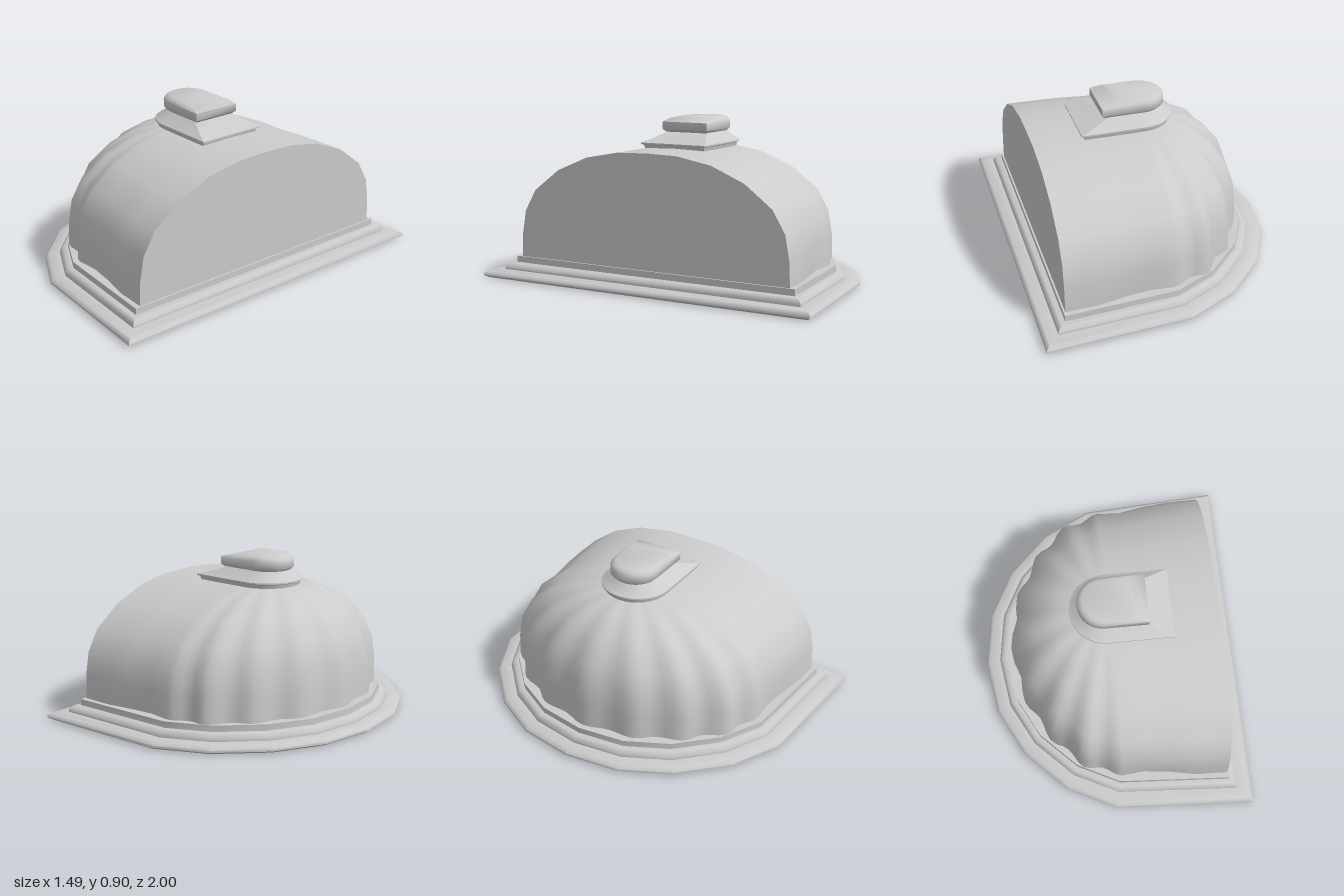
import * as THREE from 'three';
import { toCreasedNormals } from 'three/addons/utils/BufferGeometryUtils.js';

const material = new THREE.MeshStandardMaterial({ color: 0xcccccc, side: THREE.DoubleSide });

// Skin a stack of rings (each counter-clockwise seen from above, stacked upward)
function loft(name, rings, { closed = true, capEnds = false, crease = 0.6 } = {}) {
  const n = rings[0].length, top = (rings.length - 1) * n, index = [];
  for (let i = 0; i < rings.length - 1; i++) {
    for (let j = 0; j < (closed ? n : n - 1); j++) {
      const a = i * n + j, b = i * n + (j + 1) % n;
      index.push(a, b, b + n, a, b + n, a + n);
    }
  }
  if (capEnds) {
    for (let j = 1; j < n - 1; j++) index.push(0, j + 1, j, top, top + j, top + j + 1);
  }
  const geometry = new THREE.BufferGeometry();
  geometry.setAttribute('position', new THREE.Float32BufferAttribute(rings.flat(2), 3));
  geometry.setIndex(index);
  const mesh = new THREE.Mesh(toCreasedNormals(geometry, crease), material);
  mesh.name = name;
  return mesh;
}

// Mitred inset of a counter-clockwise plan [x, z]
function inset(plan, d, y) {
  const n = plan.length;
  const normal = (a, b) => {
    const dx = b[0] - a[0], dz = b[1] - a[1], l = Math.hypot(dx, dz);
    return [dz / l, -dx / l];
  };
  return plan.map((p, i) => {
    const m = normal(plan[(i + n - 1) % n], p), k = normal(p, plan[(i + 1) % n]);
    const f = d / (1 + m[0] * k[0] + m[1] * k[1]);
    return [p[0] + (m[0] + k[0]) * f, y, p[1] + (m[1] + k[1]) * f];
  });
}

// Plan with a round end at -x and a square end at x1
function roundEnded(y, cx, r, x1) {
  const ring = [[x1, y, r], [x1, y, -r]];
  for (let i = 0; i <= 16; i++) {
    const a = Math.PI / 2 + Math.PI * i / 16;
    ring.push([cx + r * Math.cos(a), y, -r * Math.sin(a)]);
  }
  return ring;
}

export function createModel() {
  const group = new THREE.Group();

  // Stepped base ring, open through the middle
  const half = [[0.745, -1], [-0.05, -0.95], [-0.33, -0.81], [-0.56, -0.58], [-0.70, -0.31]];
  const plan = [...half, [-0.745, 0], ...half.map(([x, z]) => [x, -z]).reverse()];
  const steps = [
    [0.21, 0.115], [0.13, 0.07], [0.07, 0], [0.02, 0], [0, 0.013], [0, 0.025], [0.02, 0.042],
    [0.083, 0.042], [0.083, 0.06], [0.103, 0.08], [0.13, 0.08], [0.13, 0.115], [0.21, 0.115],
  ];
  group.add(loft('steppedBase', steps.map(([d, y]) => inset(plan, d, y)), { crease: 0.9 }));

  // Dome profile: scale of the plan and height
  const profile = [
    [1, 0.11], [0.993, 0.25], [0.965, 0.38], [0.88, 0.5], [0.69, 0.62],
    [0.46, 0.70], [0.22, 0.737], [0, 0.742],
  ];

  // Straight vault toward +x (x, z, pinch at the foot), joined to a fluted half dome at -x
  const sides = [[0.605, 0.83, 0], [0.43, 0.825, 0], [0.28, 0.81, 0.015], [0.13, 0.782, 0.005]];
  const flutes = 8, samples = flutes * 6;
  const domeRings = profile.map(([s, y], row) => {
    const side = (sign) => sides.map(([x, z, pinch]) => [x, y, sign * (z * s - (row ? 0 : pinch))]);
    const ring = side(-1);
    for (let i = 0; i <= samples; i++) {
      const t = Math.PI * i / samples;
      const f = 1 - 0.05 * Math.sin(t * flutes) ** 2 - 0.035 * Math.sin(2 * t) ** 2;
      ring.push([-0.58 * Math.sin(t) * f * s ** 0.8, y, -0.79 * Math.cos(t) * f * s]);
    }
    return ring.concat(side(1).reverse());
  });
  group.add(loft('flutedDome', domeRings, { closed: false, crease: 1 }));

  // Flat wall closing the vault
  const outline = profile.map(([s, y]) => new THREE.Vector2(0.83 * s, y));
  const mirrored = outline.slice(0, -1).reverse().map((p) => new THREE.Vector2(-p.x, p.y));
  const wall = new THREE.Mesh(
    new THREE.ShapeGeometry(new THREE.Shape([...outline, ...mirrored])).rotateY(Math.PI / 2), material);
  wall.position.x = 0.605;
  wall.name = 'endWall';
  group.add(wall);

  // Flared collar and chamfered knob on top: height, arc centre, radius, square end
  const collar = [
    [0.735, -0.02, 0.185, 0.32], [0.755, -0.02, 0.19, 0.325], [0.76, -0.02, 0.2, 0.34],
    [0.768, -0.02, 0.2, 0.34], [0.79, -0.02, 0.165, 0.26], [0.825, -0.03, 0.12, 0.16],
  ];
  const knob = [
    [0.82, -0.035, 0.125, 0.19], [0.835, -0.035, 0.14, 0.207], [0.877, -0.035, 0.14, 0.207],
    [0.893, -0.035, 0.128, 0.15], [0.902, -0.035, 0.11, 0.11],
  ];
  group.add(loft('collar', collar.map((r) => roundEnded(...r)), { capEnds: true }));
  group.add(loft('knob', knob.map((r) => roundEnded(...r)), { capEnds: true, crease: 1.1 }));

  return group;
}
